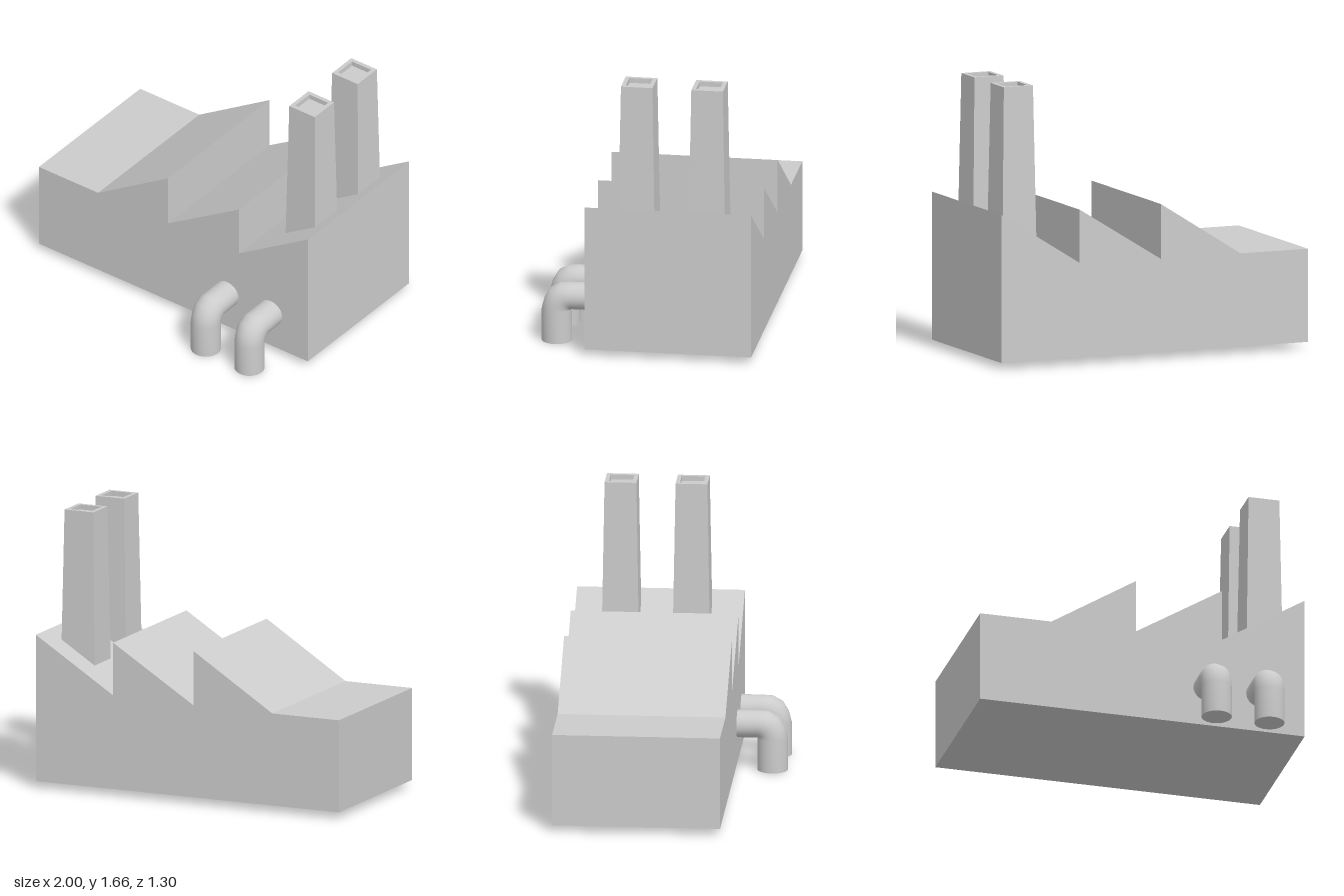
import * as THREE from 'three';

const grey = new THREE.MeshStandardMaterial({ color: 0xcccccc });
const flatGrey = new THREE.MeshStandardMaterial({ color: 0xcccccc, flatShading: true });

function part(name, geometry, material = grey) {
  const mesh = new THREE.Mesh(geometry, material);
  mesh.name = name;
  return mesh;
}

// Saw-tooth hall: one side profile extruded along z
function hallGeometry() {
  const profile = [
    [-1, 0.04], [1, 0.04], [1, 0.93], [0.49, 0.61], [0.49, 0.93],
    [-0.04, 0.6], [-0.04, 0.93], [-0.56, 0.6], [-1, 0.6],
  ].map(([x, y]) => new THREE.Vector2(x, y));
  return new THREE.ExtrudeGeometry(new THREE.Shape(profile), { depth: 1, bevelEnabled: false })
    .translate(0, 0, -0.65);
}

// Square tapered chimney with a rim and a shallow recess: [half width, height]
function chimneyGeometry() {
  const profile = [[0.111, 0.7], [0.095, 1.665], [0.07, 1.665], [0.07, 1.635], [0, 1.635]]
    .map(([half, y]) => new THREE.Vector2(half * Math.SQRT2, y));
  return new THREE.LatheGeometry(profile, 4, Math.PI / 4);
}

// Elbow pipe: oval rings swung around the inner corner of the bend
function pipeGeometry() {
  const sides = 28;
  // [inner z, inner y, swing in degrees, half height, half width]
  const rings = [
    [0.47, 0, 0, 0.09, 0.09], [0.47, 0.198, 0, 0.09, 0.09],
    [0.47, 0.198, 22.5, 0.088, 0.09], [0.47, 0.198, 45, 0.09, 0.09],
    [0.47, 0.198, 67.5, 0.087, 0.088], [0.47, 0.198, 90, 0.082, 0.087],
    [0.33, 0.198, 90, 0.082, 0.085],
  ];
  const position = [], index = [];
  rings.forEach(([z, y, degrees, half, width], r) => {
    const a = THREE.MathUtils.degToRad(degrees);
    for (let s = 0; s < sides; s++) {
      const t = (s / sides) * Math.PI * 2;
      const reach = half * (1 + Math.cos(t));
      position.push(width * Math.sin(t), y + reach * Math.sin(a), z + reach * Math.cos(a));
      if (r === rings.length - 1) continue;
      const p = r * sides + s, q = r * sides + (s + 1) % sides;
      index.push(p, q, p + sides, q, q + sides, p + sides);
    }
  });
  const geometry = new THREE.BufferGeometry();
  geometry.setAttribute('position', new THREE.Float32BufferAttribute(position, 3));
  geometry.setIndex(index);
  geometry.computeVertexNormals();
  return geometry;
}

export function createModel() {
  const model = new THREE.Group();
  model.name = 'factory';
  model.add(part('hall', hallGeometry()));

  // Two chimneys on the last roof bay
  [['frontChimney', 0.053], ['backChimney', -0.37]].forEach(([name, z]) => {
    const chimney = part(name, chimneyGeometry(), flatGrey);
    chimney.position.set(0.805, 0, z);
    model.add(chimney);
  });

  // Two pipes out of the front wall, closed at the foot
  [['rightPipe', 0.4], ['leftPipe', 0.725]].forEach(([name, x]) => {
    const pipe = new THREE.Group();
    pipe.name = name;
    const foot = new THREE.CircleGeometry(0.09, 28).rotateX(Math.PI / 2).translate(0, 0, 0.56);
    pipe.add(part('pipeElbow', pipeGeometry()), part('pipeFoot', foot));
    pipe.position.x = x;
    model.add(pipe);
  });

  return model;
}
